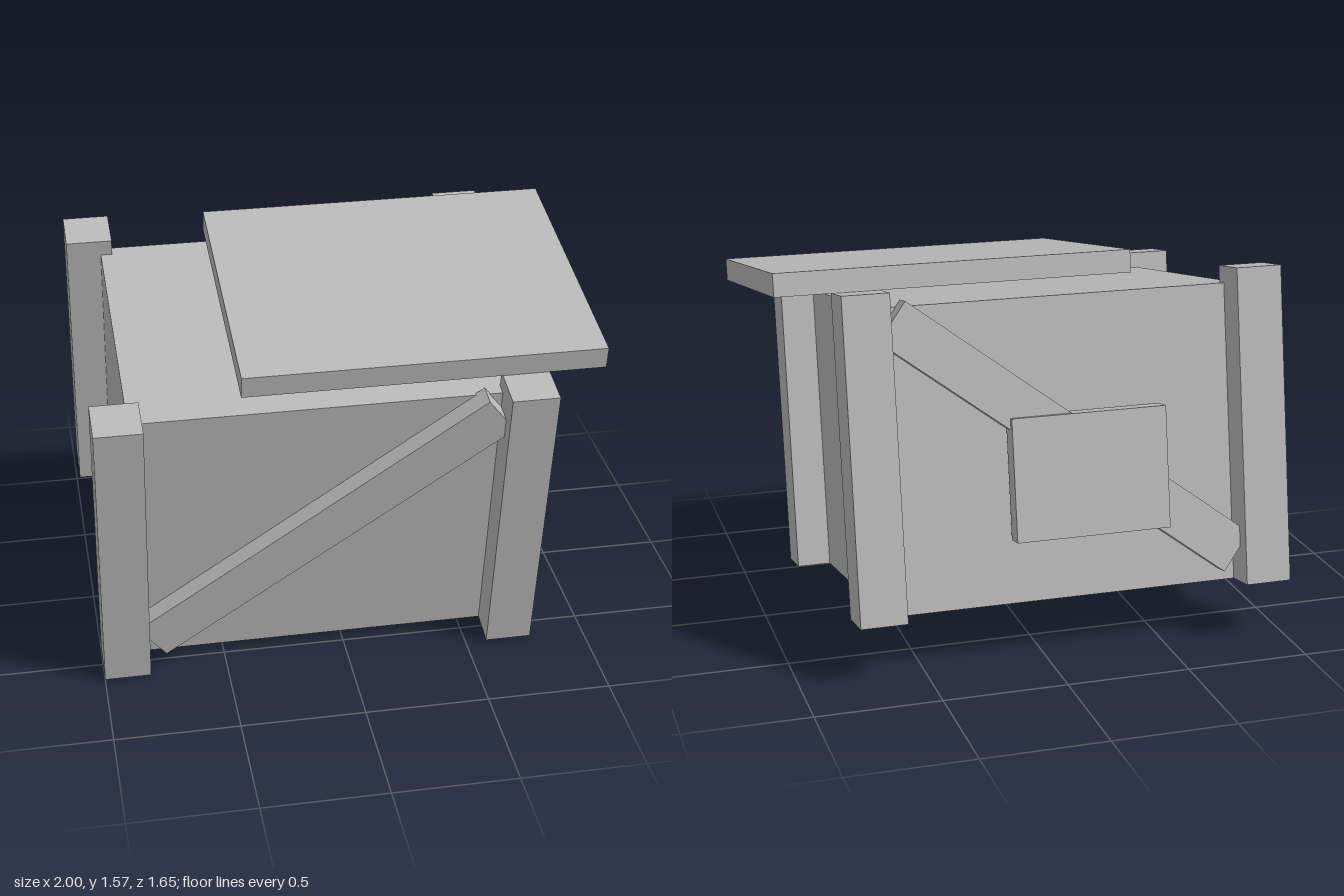
import * as THREE from 'three';

export function createModel() {
  const model = new THREE.Group();
  const grey = new THREE.MeshStandardMaterial({ color: 0xb8b8b8 });
  grey.name = 'plain grey';

  // The whole crate tips forward, resting on its front lower edge
  const crate = new THREE.Group();
  crate.name = 'crate';
  crate.rotation.x = THREE.MathUtils.degToRad(10);
  crate.position.set(-0.1125, 0.126, -0.1105);
  model.add(crate);

  function box(name, w, h, d, x, y, z, roll = 0) {
    const mesh = new THREE.Mesh(new THREE.BoxGeometry(w, h, d), grey);
    mesh.name = name;
    mesh.position.set(x, y, z);
    mesh.rotation.z = roll;
    crate.add(mesh);
  }

  // Body
  box('body', 1.495, 1.207, 1.17, 0, 0.6035, 0);

  // Corner posts
  for (const sx of [-1, 1]) {
    for (const sz of [-1, 1]) {
      box((sz > 0 ? 'front' : 'back') + (sx > 0 ? 'Left' : 'Right') + 'Post',
        0.187, 1.274, 0.187, sx * 0.794, 0.637, sz * 0.6325);
    }
  }

  // Diagonal braces on the front and back
  for (const sz of [-1, 1]) {
    box(sz > 0 ? 'frontBrace' : 'backBrace',
      1.716, 0.187, 0.09, 0, 0.642, sz * 0.62, THREE.MathUtils.degToRad(37));
  }

  // Plate fixed over the back brace
  box('backPlate', 0.635, 0.49, 0.08, -0.08, 0.505, -0.645);

  // Lid resting on the posts, slid to the left
  box('lid', 1.427, 0.091, 1.134, 0.399, 1.3195, -0.004);

  return model;
}
